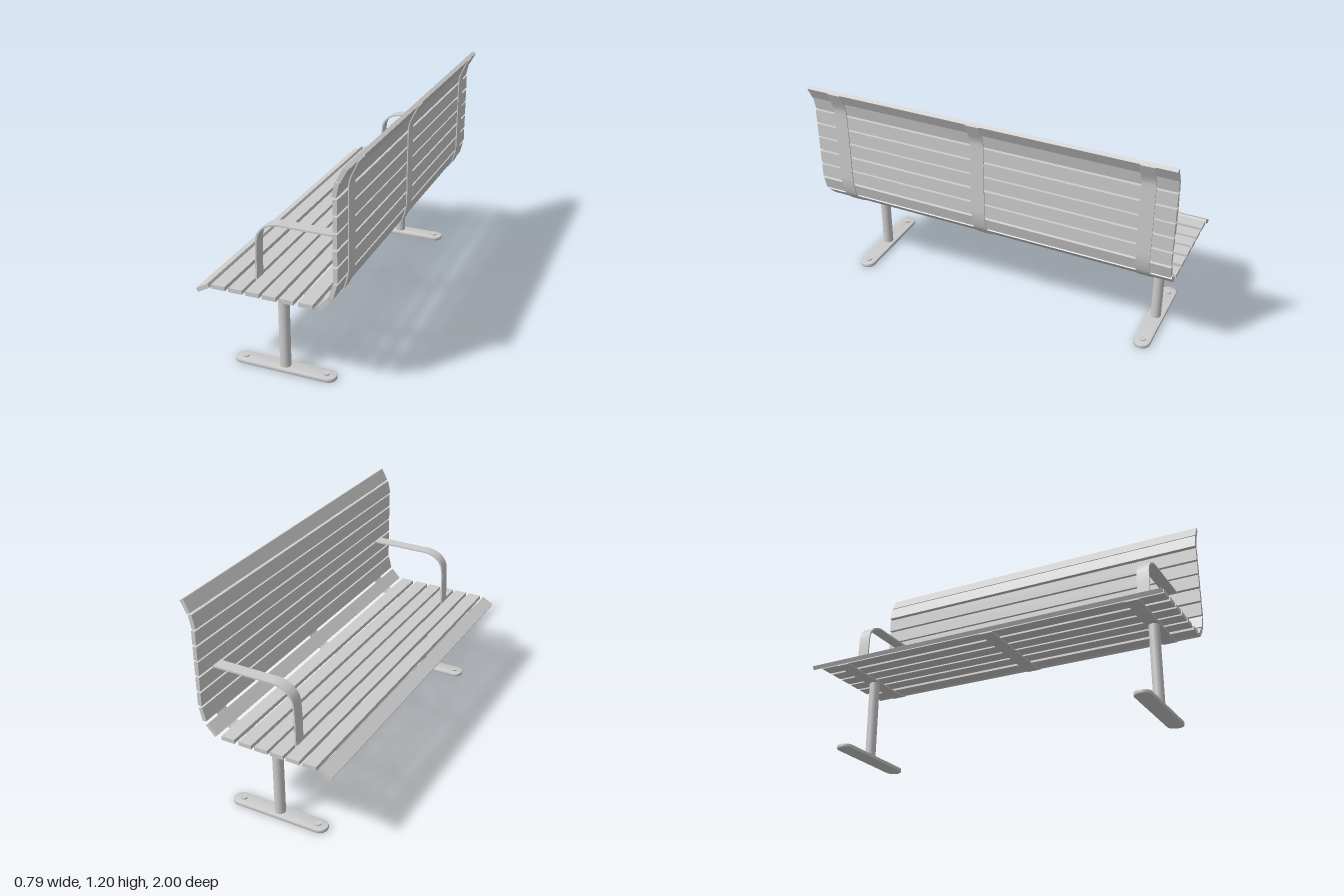
import * as THREE from 'three';
import { toCreasedNormals } from 'three/addons/utils/BufferGeometryUtils.js';

const steel = new THREE.MeshStandardMaterial({ color: 0xcccccc });
const SLAT_WIDTH = 0.073, SLAT_THICKNESS = 0.022;

function addMesh(parent, name, geometry, x = 0, y = 0, z = 0) {
  const mesh = new THREE.Mesh(geometry, steel);
  mesh.name = name;
  mesh.position.set(x, y, z);
  parent.add(mesh);
  return mesh;
}

// Flat bar of given width (along z) that follows a smooth profile in the xy plane
function bentBar(profile, thickness, width) {
  const curve = new THREE.CatmullRomCurve3(profile.map(([x, y]) => new THREE.Vector3(x, y, 0)));
  const points = curve.getPoints((profile.length - 1) * 5);
  const outer = [], inner = [];
  points.forEach((p, i) => {
    const a = points[Math.max(i - 1, 0)], b = points[Math.min(i + 1, points.length - 1)];
    const t = b.clone().sub(a).normalize().multiplyScalar(thickness / 2);
    outer.push(new THREE.Vector2(p.x + t.y, p.y - t.x));
    inner.unshift(new THREE.Vector2(p.x - t.y, p.y + t.x));
  });
  const geometry = new THREE.ExtrudeGeometry(new THREE.Shape([...outer, ...inner]), { depth: width, bevelEnabled: false });
  geometry.translate(0, 0, -width / 2);
  return toCreasedNormals(geometry, 0.6);
}

// Round-ended foot plate lying flat, from y = 0 up to its height
function footPlate(length, width, height) {
  const bevel = 0.004, r = width / 2 - bevel, half = length / 2 - width / 2;
  const shape = new THREE.Shape();
  shape.absarc(half, 0, r, -Math.PI / 2, Math.PI / 2);
  shape.absarc(-half, 0, r, Math.PI / 2, Math.PI * 1.5);
  shape.closePath();
  const geometry = new THREE.ExtrudeGeometry(shape, {
    depth: height - 2 * bevel, bevelSize: bevel, bevelThickness: bevel, bevelSegments: 2, curveSegments: 16,
  });
  geometry.rotateX(-Math.PI / 2).translate(0, bevel, 0);
  return toCreasedNormals(geometry, 0.6);
}

export function createModel() {
  const bench = new THREE.Group();
  bench.name = 'bench';

  // Slats: centre x, centre y, tilt in degrees
  const slats = {
    frontLipSlat: [[-0.362, 0.463, 29]],
    seatSlat: [-0.278, -0.186, -0.097, -0.009, 0.081, 0.179].map((x) => [x, 0.481, 0]),
    lowerCurveSlat: [[0.271, 0.508, 46], [0.318, 0.584, 75]],
    backSlat: [0.668, 0.752, 0.837, 0.919, 1.003].map((y) => [0.33, y, 90]),
    upperCurveSlat: [[0.333, 1.086, 78], [0.364, 1.159, 62]],
  };
  const slatGeometry = new THREE.BoxGeometry(SLAT_WIDTH, SLAT_THICKNESS, 2);
  for (const [name, rows] of Object.entries(slats)) {
    for (const [x, y, tilt] of rows) {
      addMesh(bench, name, slatGeometry, x, y).rotation.z = THREE.MathUtils.degToRad(tilt);
    }
  }

  // Three bent straps carrying the slats
  const strapGeometry = bentBar([
    [-0.32, 0.467], [0, 0.467], [0.22, 0.467], [0.25, 0.472], [0.281, 0.498], [0.315, 0.535], [0.332, 0.58],
    [0.343, 0.64], [0.344, 0.7], [0.344, 1.03], [0.348, 1.083], [0.377, 1.152], [0.392, 1.185],
  ], 0.006, 0.074);
  for (const z of [0.839, 0.04, -0.857]) addMesh(bench, 'strap', strapGeometry, 0, 0, z);

  // Armrests and pedestals near each end
  const armGeometry = bentBar([
    [-0.137, 0.468], [-0.136, 0.58], [-0.132, 0.69], [-0.125, 0.73], [-0.1, 0.766], [-0.065, 0.787],
    [-0.025, 0.797], [0.03, 0.797], [0.18, 0.797], [0.34, 0.797],
  ], 0.009, 0.066);
  const plateGeometry = footPlate(0.552, 0.09, 0.021);
  const postGeometry = new THREE.CylinderGeometry(0.0285, 0.0285, 0.45, 32);
  const boltGeometry = new THREE.CylinderGeometry(0.0175, 0.0175, 0.012, 20);
  for (const z of [0.84, -0.857]) {
    addMesh(bench, 'armrest', armGeometry, 0, 0, z);
    const pedestal = new THREE.Group();
    pedestal.name = 'pedestal';
    pedestal.position.set(-0.01, 0, z);
    addMesh(pedestal, 'footPlate', plateGeometry);
    addMesh(pedestal, 'post', postGeometry, 0, 0.241);
    for (const x of [-0.221, 0.221]) addMesh(pedestal, 'bolt', boltGeometry, x, 0.022);
    bench.add(pedestal);
  }
  return bench;
}
